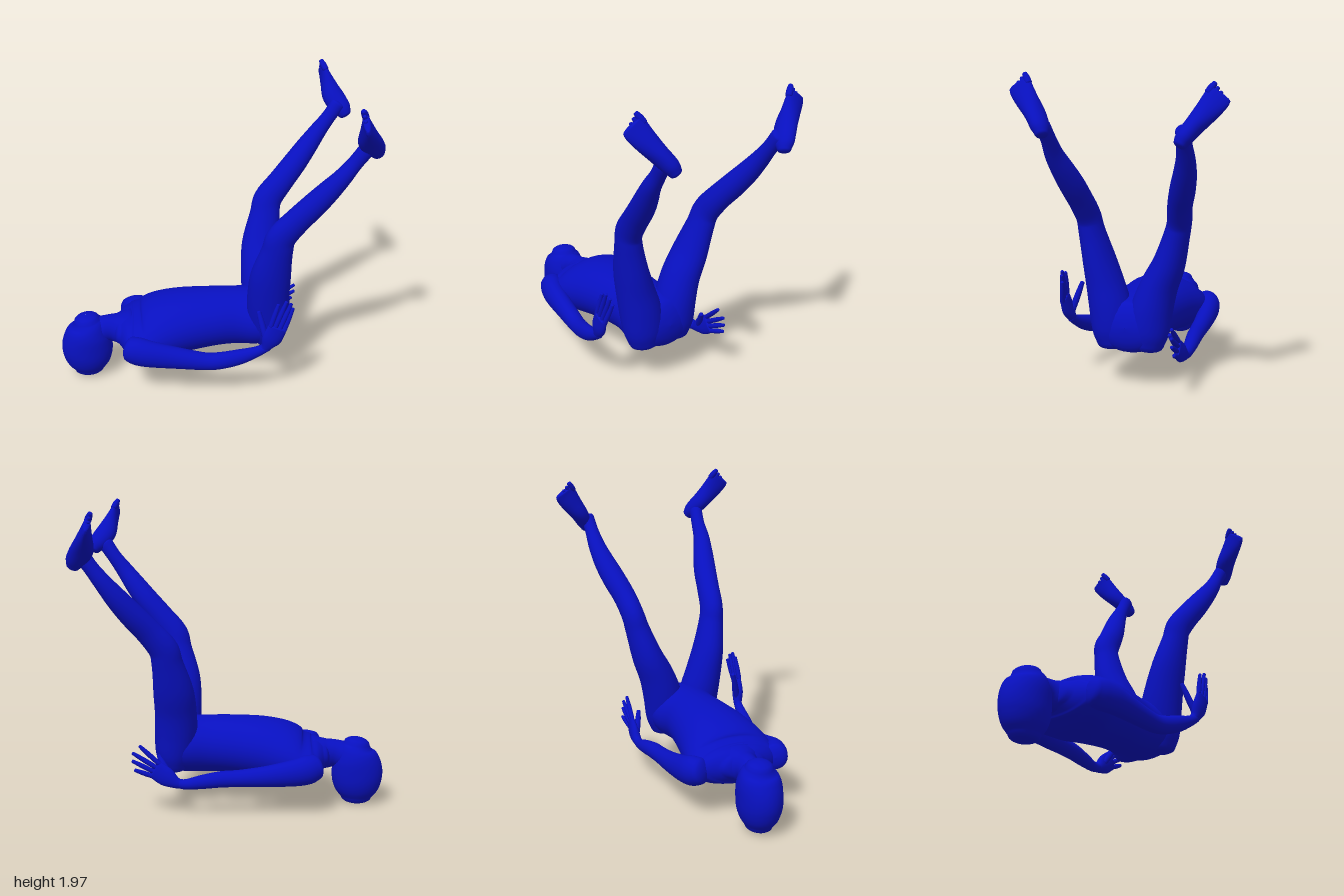
import * as THREE from 'three';

const skin = new THREE.MeshStandardMaterial({ color: 0x0810c0 });
const Y = [0, 1, 0], X = [1, 0, 0];

// Smooth body part through rows of [x, y, z, radius along ref, other radius], with domed ends
function loft(name, rows, ref, steps = 5, sides = 28) {
  const path = new THREE.CatmullRomCurve3(rows.map(r => new THREE.Vector3(r[0], r[1], r[2])), false, 'catmullrom');
  const size = new THREE.CatmullRomCurve3(rows.map(r => new THREE.Vector3(r[3], r[4] ?? r[3], 0)), false, 'catmullrom');
  const n = (rows.length - 1) * steps, pos = [], index = [];
  const axis = new THREE.Vector3(...ref);
  const ring = (f, scale, lift) => {
    const t = path.getTangent(f), r = size.getPoint(f);
    const c = path.getPoint(f).addScaledVector(t, lift * 0.5 * Math.min(r.x, r.y));
    const s = axis.clone().addScaledVector(t, -axis.dot(t)).normalize();
    const u = t.clone().cross(s);
    for (let j = 0; j < sides; j++) {
      const a = j / sides * Math.PI * 2;
      const p = c.clone().addScaledVector(s, Math.cos(a) * r.x * scale).addScaledVector(u, Math.sin(a) * r.y * scale);
      pos.push(p.x, p.y, p.z);
    }
  };
  const dome = [0.01, 0.3, 0.6, 0.9, 1.2].map(a => [Math.sin(a), Math.cos(a)]);
  dome.forEach(([scale, lift]) => ring(0, scale, -lift));
  for (let i = 0; i <= n; i++) ring(i / n, 1, 0);
  dome.reverse().forEach(([scale, lift]) => ring(1, scale, lift));
  for (let k = 0; k < pos.length / 3 - sides; k++) {
    const m = k % sides === sides - 1 ? k + 1 - sides : k + 1;
    index.push(k, m, k + sides, m, m + sides, k + sides);
  }
  const g = new THREE.BufferGeometry();
  g.setAttribute('position', new THREE.Float32BufferAttribute(pos, 3));
  g.setIndex(index);
  g.computeVertexNormals();
  const mesh = new THREE.Mesh(g, skin);
  mesh.name = name;
  return mesh;
}

// Slim tapered finger or toe
function digit(name, from, to, r) {
  const at = (k, rad) => [...from.map((v, i) => v + (to[i] - v) * k), rad];
  return loft(name, [at(0, r), at(0.5, r), at(0.95, r * 0.7)], [0.3, 0.2, 1], 3, 10);
}

// Palm plus four fingers and a thumb
function hand(name, palm, across, tips, thumb) {
  const g = new THREE.Group();
  g.name = name;
  g.add(loft('palm', palm, across, 4, 20));
  const k = palm[palm.length - 1];
  tips.forEach((tip, i) => {
    const off = (1.5 - i) * 0.031;
    g.add(digit('finger', [0, 1, 2].map(a => k[a] + across[a] * off), tip, 0.0155));
  });
  g.add(digit('thumb', thumb[0], thumb[1], 0.02));
  return g;
}

// Leg rows: x, y, z of left leg, z of right leg, radius fore-aft, radius sideways
const LEG = [
  [0.365, 0.285, 0.18, -0.02, 0.1, 0.115],
  [0.36, 0.37, 0.195, -0.035, 0.126, 0.132],
  [0.35, 0.5, 0.215, -0.055, 0.138, 0.132],
  [0.345, 0.65, 0.25, -0.10, 0.135, 0.117],
  [0.352, 0.8, 0.285, -0.165, 0.128, 0.1],
  [0.38, 0.98, 0.32, -0.22, 0.1, 0.08],
  [0.402, 1.08, 0.333, -0.245, 0.094, 0.074],
  [0.487, 1.19, 0.348, -0.27, 0.084, 0.074],
  [0.583, 1.3, 0.367, -0.31, 0.078, 0.076],
  [0.665, 1.4, 0.39, -0.345, 0.069, 0.069],
  [0.742, 1.5, 0.412, -0.37, 0.056, 0.056],
  [0.81, 1.59, 0.416, -0.38, 0.047, 0.045],
  [0.87, 1.675, 0.425, -0.388, 0.05, 0.042],
];

function foot(name, side) {
  const g = new THREE.Group();
  g.name = name;
  const left = side > 0;
  const place = ([x, y, z, ...r]) => [x - (left ? 0 : 0.025), y - (left ? 0 : 0.035), left ? z : 0.015 - z, ...r];
  const across = [0, 0.6, -0.8 * side];
  g.add(loft('footBody', [
    [0.948, 1.643, 0.4, 0.038, 0.042],
    [0.925, 1.68, 0.42, 0.05, 0.062],
    [0.877, 1.745, 0.468, 0.057, 0.07],
    [0.848, 1.82, 0.528, 0.068, 0.047],
    [0.828, 1.878, 0.57, 0.074, 0.028],
    [0.818, 1.905, 0.588, 0.068, 0.021],
  ].map(place), across, 4, 24));
  // Toes, from the big toe outward
  for (let i = 0; i < 5; i++) {
    const o = 0.057 - i * 0.029, len = 0.064 - i * 0.008, r = i ? 0.015 : 0.021;
    const base = [0.828, 1.88 + 0.6 * o, 0.57 - 0.8 * o];
    const tip = [base[0] - len * 0.4, base[1] + len * 0.8, base[2] + len * 0.52];
    g.add(digit('toe', place(base), place(tip), r));
  }
  return g;
}

export function createModel() {
  const model = new THREE.Group();
  model.name = 'lyingFigure';

  // Head tipped back, with the chin uppermost
  const head = [
    [0.042, -0.83, 0.1, 0.085], [0.09, -0.831, 0.138, 0.114], [0.15, -0.832, 0.16, 0.132],
    [0.22, -0.833, 0.167, 0.137], [0.3, -0.826, 0.152, 0.135], [0.36, -0.822, 0.122, 0.118], [0.405, -0.828, 0.085, 0.085],
  ];
  model.add(loft('head', head.map(([y, x, a, b]) => [x, y, 0.077, a, b]), X));
  model.add(loft('neck', [
    [-0.82, 0.3, 0.077, 0.06, 0.07], [-0.75, 0.325, 0.077, 0.085, 0.088],
    [-0.68, 0.338, 0.077, 0.09, 0.079], [-0.62, 0.335, 0.077, 0.098, 0.11], [-0.54, 0.335, 0.077, 0.11, 0.18],
  ], Y));

  // Torso from shoulders to pelvis
  const torso = [
    [-0.615, 0.335, 0.085, 0.15], [-0.575, 0.33, 0.11, 0.235], [-0.53, 0.322, 0.13, 0.285],
    [-0.45, 0.321, 0.158, 0.298], [-0.35, 0.348, 0.191, 0.285], [-0.2, 0.376, 0.196, 0.255],
    [0, 0.392, 0.188, 0.222], [0.15, 0.393, 0.185, 0.207], [0.28, 0.39, 0.184, 0.23],
    [0.36, 0.395, 0.175, 0.235], [0.41, 0.4, 0.162, 0.215],
  ];
  model.add(loft('torso', torso.map(([x, y, a, b]) => [x, y, 0.077, a, b]), Y, 5, 40));

  // Arms: the left forearm is raised, the right lies along the body
  model.add(loft('leftArm', [
    [-0.55, 0.327, 0.335, 0.084, 0.08], [-0.5, 0.32, 0.358, 0.094, 0.08],
    [-0.42, 0.31, 0.383, 0.088, 0.072], [-0.25, 0.285, 0.405, 0.071, 0.062], [-0.08, 0.264, 0.425, 0.058, 0.054],
    [0.02, 0.275, 0.443, 0.056, 0.05], [0.14, 0.313, 0.468, 0.05, 0.042], [0.24, 0.355, 0.485, 0.035, 0.032],
    [0.31, 0.395, 0.495, 0.028, 0.025],
  ], Y));
  model.add(loft('rightArm', [
    [-0.55, 0.315, -0.18, 0.084, 0.08], [-0.5, 0.305, -0.21, 0.094, 0.08],
    [-0.42, 0.29, -0.23, 0.086, 0.07], [-0.25, 0.267, -0.24, 0.068, 0.06], [-0.08, 0.252, -0.243, 0.055, 0.053],
    [0.04, 0.245, -0.248, 0.052, 0.05], [0.16, 0.228, -0.255, 0.045, 0.043], [0.27, 0.21, -0.257, 0.033, 0.032],
    [0.34, 0.222, -0.255, 0.028, 0.025],
  ], Y));
  model.add(hand('leftHand', [
    [0.27, 0.375, 0.488, 0.026, 0.022], [0.3, 0.4, 0.495, 0.036, 0.028],
    [0.33, 0.46, 0.508, 0.062, 0.03], [0.365, 0.54, 0.515, 0.062, 0.02],
  ], [0.9, -0.43, 0], [[0.465, 0.67, 0.49], [0.452, 0.71, 0.5], [0.42, 0.73, 0.508], [0.37, 0.71, 0.505]],
  [[0.3, 0.44, 0.49], [0.255, 0.625, 0.432]]));
  model.add(hand('rightHand', [
    [0.28, 0.21, -0.257, 0.026, 0.022], [0.33, 0.22, -0.257, 0.037, 0.03],
    [0.39, 0.255, -0.255, 0.062, 0.03], [0.46, 0.3, -0.25, 0.062, 0.02],
  ], [-0.5, 0.87, 0], [[0.567, 0.457, -0.24], [0.612, 0.412, -0.25], [0.613, 0.36, -0.255], [0.595, 0.302, -0.265]],
  [[0.37, 0.26, -0.24], [0.45, 0.385, -0.195]]));

  // Raised legs and feet
  for (const side of [1, -1]) {
    const name = side > 0 ? 'left' : 'right';
    model.add(loft(name + 'Leg', LEG.map(([x, y, zl, zr, a, b]) => [x, y, side > 0 ? zl : zr, a, b]), X));
    model.add(foot(name + 'Foot', side));
  }
  return model;
}
